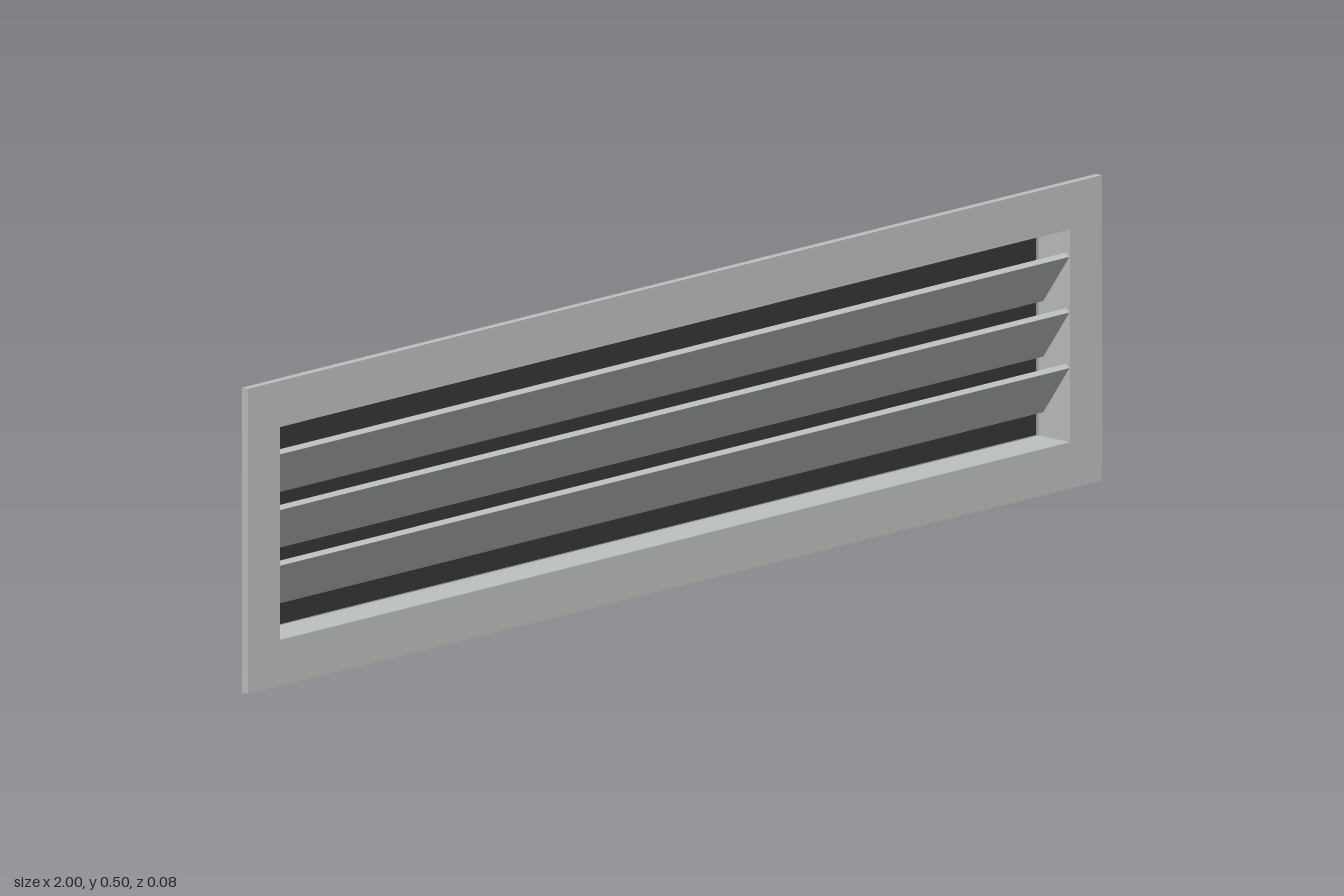
import * as THREE from 'three';

const CY = 0.251;            // mid height of the grille
const OPEN_W = 1.85, OPEN_H = 0.35;

// Rectangular ring around the opening, extruded from z0 to z1
function ring(w, h, z0, z1) {
  const rect = (T, a, b) => new T([
    new THREE.Vector2(-a / 2, -b / 2), new THREE.Vector2(a / 2, -b / 2),
    new THREE.Vector2(a / 2, b / 2), new THREE.Vector2(-a / 2, b / 2),
  ]);
  const shape = rect(THREE.Shape, w, h);
  shape.holes.push(rect(THREE.Path, OPEN_W, OPEN_H));
  const geo = new THREE.ExtrudeGeometry(shape, { depth: z1 - z0, bevelEnabled: false });
  return geo.translate(0, CY, z0);
}

export function createModel() {
  const group = new THREE.Group();
  const metal = new THREE.MeshStandardMaterial({ color: 0xbcc0bf });
  metal.name = 'light grey metal';
  const dark = new THREE.MeshStandardMaterial({ color: 0x353535 });
  dark.name = 'dark backing';

  const add = (name, geo, mat) => {
    const mesh = new THREE.Mesh(geo, mat);
    mesh.name = name;
    group.add(mesh);
    return mesh;
  };

  // Flat front flange and the shallow duct collar behind it
  add('frontFrame', ring(2, 0.502, 0.027, 0.04), metal);
  add('ductCollar', ring(1.866, 0.366, -0.029, 0.027), metal);

  // Three slats leaning forward at the top
  for (let i = -1; i <= 1; i++) {
    const slat = add('louverSlat', new THREE.BoxGeometry(OPEN_W, 0.1, 0.01), metal);
    slat.position.set(0, CY + i * 0.0915, 0.006);
    slat.rotation.x = THREE.MathUtils.degToRad(35);
  }

  // Dark screen set just behind the collar
  add('backScreen', new THREE.BoxGeometry(OPEN_W, OPEN_H, 0.006), dark)
    .position.set(0, CY, -0.037);

  return group;
}
